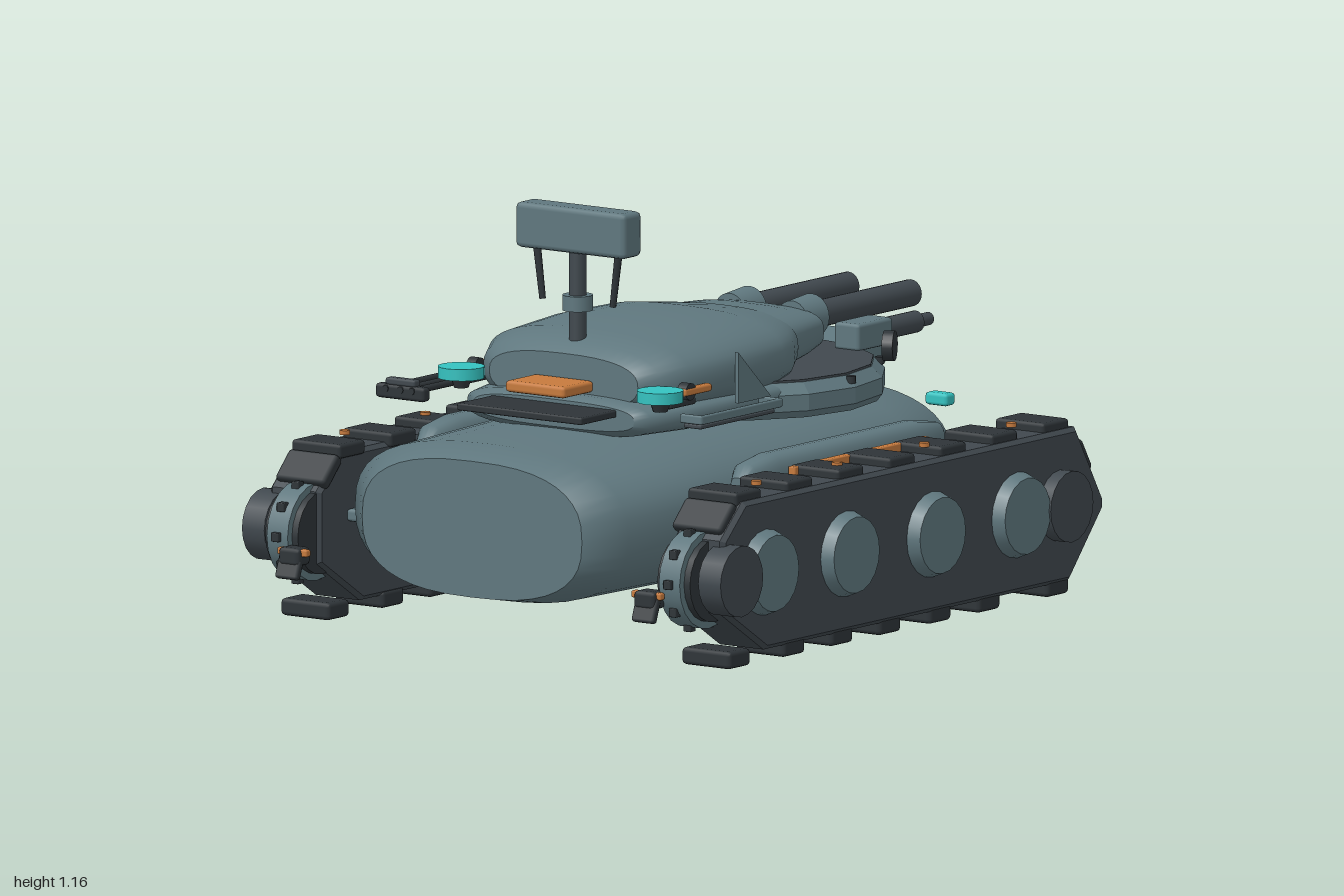
import * as THREE from 'three';
import { RoundedBoxGeometry } from 'three/addons/geometries/RoundedBoxGeometry.js';

const mat = (name, color) => {
  const m = new THREE.MeshStandardMaterial({ color });
  m.name = name;
  return m;
};

// Closed loft through superellipse sections [z, halfWidth, yBottom, yTop], listed from +z to -z
function loft(sections, power = 2.6, n = 40) {
  const pos = [], idx = [];
  const ring = ([z, w, y0, y1]) => {
    for (let j = 0; j < n; j++) {
      const a = (j / n) * Math.PI * 2, c = Math.cos(a), s = Math.sin(a);
      pos.push(Math.sign(c) * Math.abs(c) ** (2 / power) * w,
        (y0 + y1) / 2 + Math.sign(s) * Math.abs(s) ** (2 / power) * (y1 - y0) / 2, z);
    }
  };
  sections.forEach(ring);
  for (let i = 0; i < sections.length - 1; i++) {
    for (let j = 0; j < n; j++) {
      const k = (j + 1) % n, a = i * n + j, b = i * n + k, c = b + n, d = a + n;
      idx.push(a, d, c, a, c, b);
    }
  }
  // flat end caps with their own vertices
  [sections[0], sections[sections.length - 1]].forEach((s, e) => {
    const base = pos.length / 3;
    ring(s);
    pos.push(0, (s[2] + s[3]) / 2, s[0]);
    for (let j = 0; j < n; j++) {
      const a = base + j, b = base + (j + 1) % n;
      idx.push(base + n, e ? b : a, e ? a : b);
    }
  });
  const g = new THREE.BufferGeometry();
  g.setAttribute('position', new THREE.Float32BufferAttribute(pos, 3));
  g.setIndex(idx);
  g.computeVertexNormals();
  return g;
}

// Extrude an outline of [z, y] points along x, centred on x = 0
function sidePlate(points, width, bevel = 0) {
  const shape = new THREE.Shape(points.map(([z, y]) => new THREE.Vector2(z, y)));
  const g = new THREE.ExtrudeGeometry(shape, {
    depth: width - 2 * bevel, bevelEnabled: bevel > 0, bevelSize: bevel,
    bevelThickness: bevel, bevelOffset: -bevel, bevelSegments: 1,
  });
  g.translate(0, 0, -(width - 2 * bevel) / 2);
  g.rotateY(-Math.PI / 2);
  return g;
}

export function createModel() {
  const root = new THREE.Group();
  const hull = mat('hull grey', 0x5f777e), dark = mat('dark steel', 0x40484e);
  const black = mat('track black', 0x2e3438), orange = mat('orange', 0xc67a3d);
  const cyan = mat('cyan', 0x35c2c0);

  const add = (name, geo, material, x = 0, y = 0, z = 0) => {
    const m = new THREE.Mesh(geo, material);
    m.name = name;
    m.position.set(x, y, z);
    root.add(m);
    return m;
  };
  const box = (name, m, w, h, d, x, y, z, r = 0.01) =>
    add(name, new RoundedBoxGeometry(w, h, d, 1, Math.min(r, w / 3, h / 3, d / 3)), m, x, y, z);
  const cyl = (name, m, r, len, axis, x, y, z, r2 = r, seg = 24) => {
    const g = new THREE.CylinderGeometry(r, r2, len, seg);
    if (axis === 'x') g.rotateZ(-Math.PI / 2);
    if (axis === 'z') g.rotateX(Math.PI / 2);
    return add(name, g, m, x, y, z);
  };
  const sides = [-1, 1];

  // Hull
  add('hull', loft([
    [0.96, 0.37, 0.155, 0.53], [0.87, 0.46, 0.138, 0.565], [0.4, 0.49, 0.135, 0.572],
    [0, 0.485, 0.135, 0.572], [-0.45, 0.47, 0.135, 0.565], [-0.68, 0.415, 0.137, 0.54],
    [-0.78, 0.34, 0.14, 0.5], [-0.85, 0.26, 0.15, 0.44], [-0.92, 0.14, 0.165, 0.35],
    [-0.955, 0.06, 0.19, 0.29]]), hull);

  // Turret ring with a dark deck and bolts
  const prof = [[0, 0.555], [0.425, 0.555], [0.44, 0.575], [0.44, 0.62], [0.41, 0.65], [0, 0.65]];
  const ringGeo = new THREE.LatheGeometry(prof.map(p => new THREE.Vector2(...p)), 16).toNonIndexed();
  ringGeo.computeVertexNormals();
  add('turretRing', ringGeo, hull, 0, 0, -0.2);
  cyl('turretRingDeck', dark, 0.408, 0.006, 'y', 0, 0.653, -0.2, 0.408, 16);
  for (let i = 0; i < 8; i++) {
    const a = (i / 8) * Math.PI * 2;
    cyl('ringBolt', black, 0.013, 0.02, 'y', 0.425 * Math.sin(a), 0.64, -0.2 - 0.425 * Math.cos(a), 0.013, 8);
  }

  // Turret skirt, body and gun mantlet
  add('turretSkirt', loft([[0.585, 0.27, 0.575, 0.65], [0.56, 0.31, 0.557, 0.665],
    [0.4, 0.35, 0.555, 0.67], [0, 0.36, 0.555, 0.67], [-0.2, 0.3, 0.555, 0.66]], 3), hull);
  add('turretBody', loft([[0.54, 0.25, 0.63, 0.77], [0.5, 0.3, 0.605, 0.798], [0.42, 0.345, 0.59, 0.822],
    [0.2, 0.36, 0.585, 0.833], [0, 0.348, 0.59, 0.83], [-0.1, 0.31, 0.6, 0.817],
    [-0.19, 0.255, 0.62, 0.805]], 2.6), hull);
  add('mantlet', loft([[-0.17, 0.245, 0.63, 0.803], [-0.3, 0.225, 0.65, 0.795],
    [-0.375, 0.205, 0.665, 0.785]], 3.2), hull);

  // Twin guns
  for (const s of sides) {
    cyl('gunCollar', hull, 0.052, 0.09, 'z', s * 0.105, 0.75, -0.41, 0.06);
    cyl('gunBarrel', dark, 0.037, 0.47, 'z', s * 0.105, 0.75, -0.675);
  }
  // Small side gun
  box('sideGunHousing', hull, 0.085, 0.075, 0.16, 0.18, 0.69, -0.59);
  cyl('sideGunBarrel', dark, 0.03, 0.22, 'z', 0.165, 0.685, -0.74);
  cyl('sideGunMuzzle', dark, 0.018, 0.08, 'z', 0.165, 0.685, -0.87);

  // Front deck block, step and lamps
  add('deckBlock', sidePlate([[-0.6, 0.53], [-0.6, 0.625], [-0.8, 0.655], [-0.815, 0.575], [-0.74, 0.53]], 0.2, 0.008), hull);
  box('deckStep', black, 0.13, 0.015, 0.08, 0, 0.55, -0.785);
  for (const s of sides) box('headlamp', cyan, 0.075, 0.035, 0.045, s * 0.277, 0.49, -0.81);

  // Rear turret shelf and orange crate
  box('rearShelf', black, 0.42, 0.02, 0.22, 0, 0.63, 0.635, 0.005);
  box('rearCrate', orange, 0.2, 0.032, 0.14, 0, 0.688, 0.605);

  // Sensor mast
  cyl('mastPole', dark, 0.024, 0.28, 'y', 0, 0.92, 0.475);
  cyl('mastCollar', hull, 0.042, 0.042, 'y', 0, 0.902, 0.475);
  box('sensorHead', hull, 0.37, 0.125, 0.085, 0, 1.103, 0.472, 0.015);
  for (const s of sides) {
    box('sensorWindow', cyan, 0.115, 0.06, 0.009, s * 0.08, 1.105, 0.428, 0.002);
    cyl('sensorRod', black, 0.011, 0.15, 'y', s * 0.128, 0.975, 0.475, 0.009, 8).rotation.z = s * -0.13;
  }

  // Turret side fittings
  for (const s of sides) {
    cyl('beacon', cyan, 0.064, 0.032, 'y', s * 0.335, 0.688, 0.553, 0.064, 16);
    cyl('beaconBase', black, 0.03, 0.03, 'y', s * 0.335, 0.66, 0.553, 0.02, 12);
    box('beaconArm', black, 0.03, 0.02, 0.12, s * 0.345, 0.66, 0.48);
    box('orangeRail', orange, 0.025, 0.022, 0.125, s * 0.36, 0.69, 0.425);
    cyl('railKnob', black, 0.024, 0.03, 'x', s * 0.355, 0.69, 0.46, 0.024, 12);
    const disc = cyl('spotDisc', black, 0.042, 0.03, 'x', s * 0.36, 0.69, -0.465, 0.042, 16);
    disc.rotation.y = s * 0.45;
  }
  add('turretFin', sidePlate([[0.25, 0.63], [0.25, 0.77], [0.1, 0.63]], 0.012), hull, 0.37);
  // Stowage frame on the left of the turret
  for (const z of [0.125, 0.485]) box('stowageFrame', hull, 0.075, 0.025, 0.015, 0.392, 0.62, z);
  box('stowageFrame', hull, 0.015, 0.025, 0.37, 0.423, 0.62, 0.305);
  box('stowagePlate', dark, 0.06, 0.012, 0.34, 0.385, 0.598, 0.305);

  // Tool rack above the right track
  for (const z of [-0.18, 0.385]) {
    box('rackCradle', black, 0.165, 0.04, 0.035, -0.655, 0.577, z);
    box('rackClamp', dark, 0.1, 0.02, 0.03, -0.655, 0.605, z);
  }
  for (const x of [-0.7, -0.65, -0.612]) cyl('rackRod', black, 0.01, 0.61, 'z', x, 0.585, 0.1, 0.01, 8);

  // Tracks, wheels, pods and tow hooks, mirrored
  for (const s of sides) {
    add('sidePod', loft([[0.465, 0.025, 0.37, 0.47], [0.43, 0.045, 0.345, 0.505], [0.33, 0.058, 0.33, 0.52],
      [-0.33, 0.058, 0.33, 0.52], [-0.43, 0.045, 0.345, 0.505], [-0.465, 0.025, 0.37, 0.47]], 3, 24),
    hull, s * 0.53);
    box('fenderSlab', hull, 0.125, 0.035, 1.46, s * 0.535, 0.29, -0.005);

    add('trackBody', sidePlate([[0.75, 0.465], [0.85, 0.37], [0.85, 0.17], [0.65, 0.045], [-0.745, 0.045],
      [-0.9, 0.225], [-0.9, 0.255], [-0.775, 0.465]], 0.17, 0.012), dark, s * 0.68);
    cyl('sprocket', hull, 0.135, 0.07, 'x', s * 0.66, 0.255, 0.82, 0.135, 20);
    cyl('sprocketRim', black, 0.115, 0.11, 'x', s * 0.66, 0.255, 0.82, 0.115, 20);
    for (let i = 0; i < 10; i++) {
      const a = (i / 10) * Math.PI * 2;
      box('sprocketTooth', black, 0.025, 0.025, 0.025, s * 0.66, 0.255 + 0.135 * Math.sin(a), 0.82 + 0.135 * Math.cos(a), 0.003);
    }
    for (const z of [0.655, 0.285, -0.11, -0.5]) {
      const [a, b] = s > 0 ? [0.105, 0.12] : [0.12, 0.105];
      cyl('roadWheel', hull, a, 0.04, 'x', s * 0.78, 0.26, z, b, 20);
    }
    for (const z of [0.82, -0.695]) cyl('endWheel', dark, 0.098, 0.075, 'x', s * 0.768, 0.26, z, 0.098, 20);

    for (const z of [0.76, 0.51, 0.29, 0.07, -0.16, -0.385, -0.7]) {
      box('lowerTrackPad', black, 0.165, 0.048, 0.1, s * 0.675, 0.034, z, 0.012);
    }
    for (let i = 0; i < 7; i++) {
      box('upperTrackPad', black, 0.165, 0.04, 0.12, s * 0.667, 0.47, 0.71 - i * 0.235, 0.01);
    }
    box('frontTrackPad', black, 0.165, 0.1, 0.035, s * 0.667, 0.375, -0.83).rotation.x = 0.54;
    box('rearTrackPad', black, 0.165, 0.1, 0.035, s * 0.667, 0.42, 0.8).rotation.x = -0.78;

    box('orangeStrip', orange, 0.025, 0.025, 0.62, s * 0.602, 0.475, 0.005, 0.004);
    for (const z of [-0.57, -0.17, 0.23, 0.6]) cyl('trackBolt', orange, 0.015, 0.012, 'y', s * 0.693, 0.492, z, 0.015, 10);

    for (const e of sides) {
      const z = e * 0.96;
      box('towHookPlate', black, 0.07, 0.05, 0.06, s * 0.598, 0.21, z, 0.012);
      box('towHookTongue', black, 0.075, 0.075, 0.022, s * 0.6, 0.185, z + e * 0.018).rotation.x = -e * 0.35;
      box('towHookBar', orange, 0.1, 0.02, 0.022, s * 0.596, 0.222, z + e * 0.005, 0.005);
    }
  }
  return root;
}
